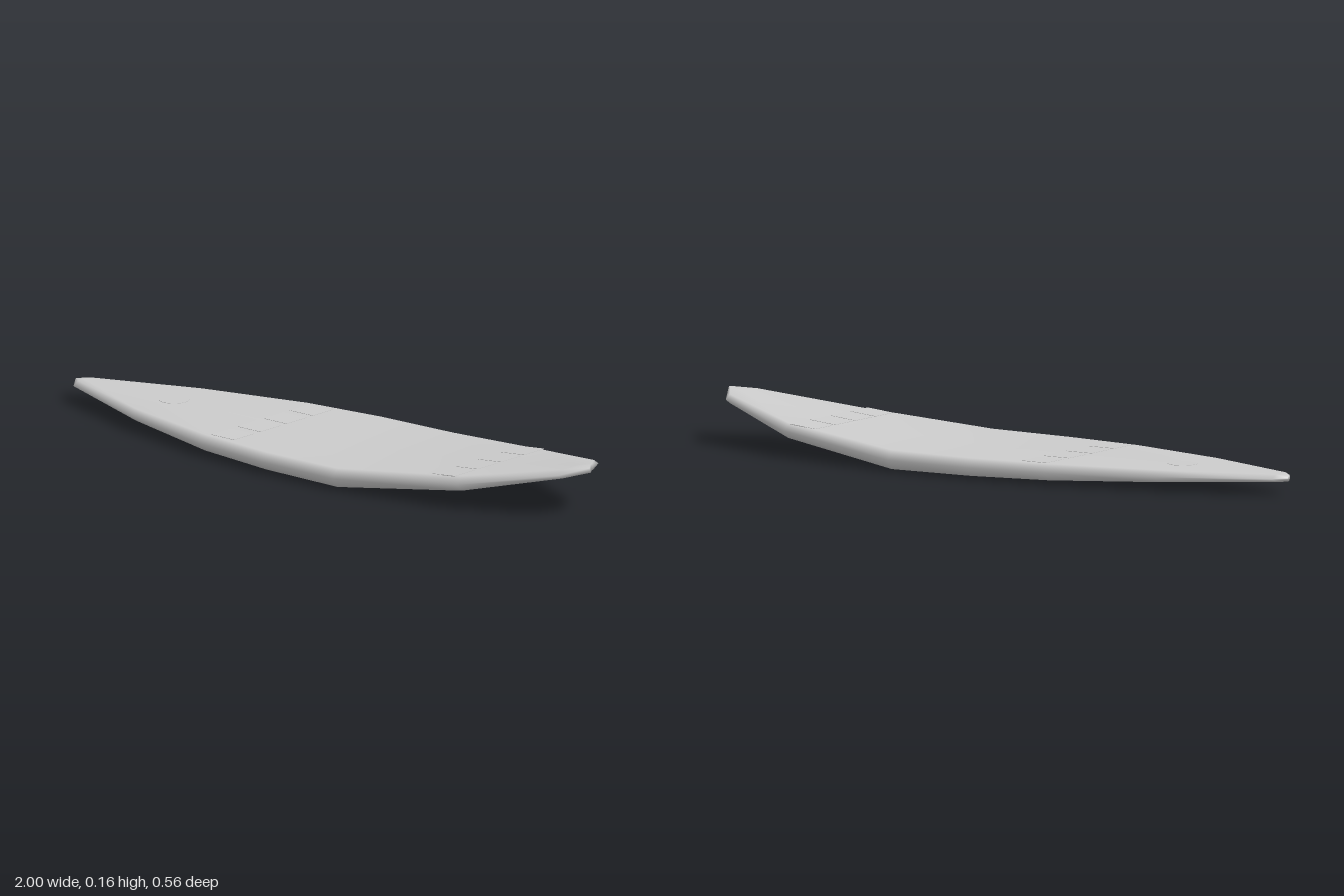
import * as THREE from 'three';

// Stations along the board: x, half width, deck height, keel height
const STATIONS = [
  [-1.0, 0.006, 0.06, 0.042],
  [-0.97, 0.047, 0.063, 0.037],
  [-0.64, 0.17, 0.063, 0.022],
  [-0.3, 0.252, 0.063, 0.009],
  [-0.04, 0.28, 0.062, 0.004],
  [0.24, 0.282, 0.063, 0.001],
  [0.66, 0.21, 0.1, 0.05],
  [0.95, 0.092, 0.147, 0.115],
  [1.0, 0.006, 0.158, 0.132],
];

const grey = () => new THREE.MeshStandardMaterial({ color: 0xcccccc });

// Deck height and slope angle at a given x
function deckAt(x) {
  const i = Math.max(1, STATIONS.findIndex((s) => s[0] >= x));
  const a = STATIONS[i - 1], b = STATIONS[i];
  const slope = (b[2] - a[2]) / (b[0] - a[0]);
  return { y: a[2] + slope * (x - a[0]), angle: Math.atan(slope) };
}

// Flat deck, bevelled rails and a nearly flat bottom, lofted through the stations
function hullGeometry() {
  const positions = [], index = [];
  for (const [x, w, top, bottom] of STATIONS) {
    const inner = Math.max(w * 0.5, w - 0.021);
    const mid = bottom + (top - bottom) * 0.55;
    const ring = [
      [0, top], [inner, top], [w, mid], [inner, bottom + 0.005],
      [0, bottom], [-inner, bottom + 0.005], [-w, mid], [-inner, top],
    ];
    for (const [z, y] of ring) positions.push(x, y, z);
  }
  const n = 8, last = (STATIONS.length - 1) * n;
  for (let s = 0; s < STATIONS.length - 1; s++) {
    for (let k = 0; k < n; k++) {
      const a = s * n + k, b = s * n + (k + 1) % n;
      index.push(a, b, b + n, a, b + n, a + n);
    }
  }
  // end caps
  for (let k = 1; k < n - 1; k++) {
    index.push(0, k + 1, k);
    index.push(last, last + k, last + k + 1);
  }
  const g = new THREE.BufferGeometry();
  g.setAttribute('position', new THREE.Float32BufferAttribute(positions, 3));
  g.setIndex(index);
  g.computeVertexNormals();
  return g;
}

export function createModel() {
  const group = new THREE.Group();
  const add = (geometry, name, x, z) => {
    const mesh = new THREE.Mesh(geometry, grey());
    const { y, angle } = deckAt(x);
    mesh.name = name;
    mesh.position.set(x, y, z);
    mesh.rotation.z = angle;
    group.add(mesh);
  };

  const hull = new THREE.Mesh(hullGeometry(), grey());
  hull.name = 'hull';
  group.add(hull);

  // two rows of thin square grip pads across the deck
  for (const [x, step, name] of [[-0.24, 0.118, 'tailPad'], [0.6, 0.104, 'nosePad']]) {
    for (let i = 0; i < 4; i++) {
      add(new THREE.BoxGeometry(0.09, 0.002, 0.09), name, x, (i - 1.5) * step);
    }
  }

  // round plug near the tail
  add(new THREE.CylinderGeometry(0.045, 0.045, 0.002, 16), 'tailPlug', -0.62, 0);
  return group;
}
